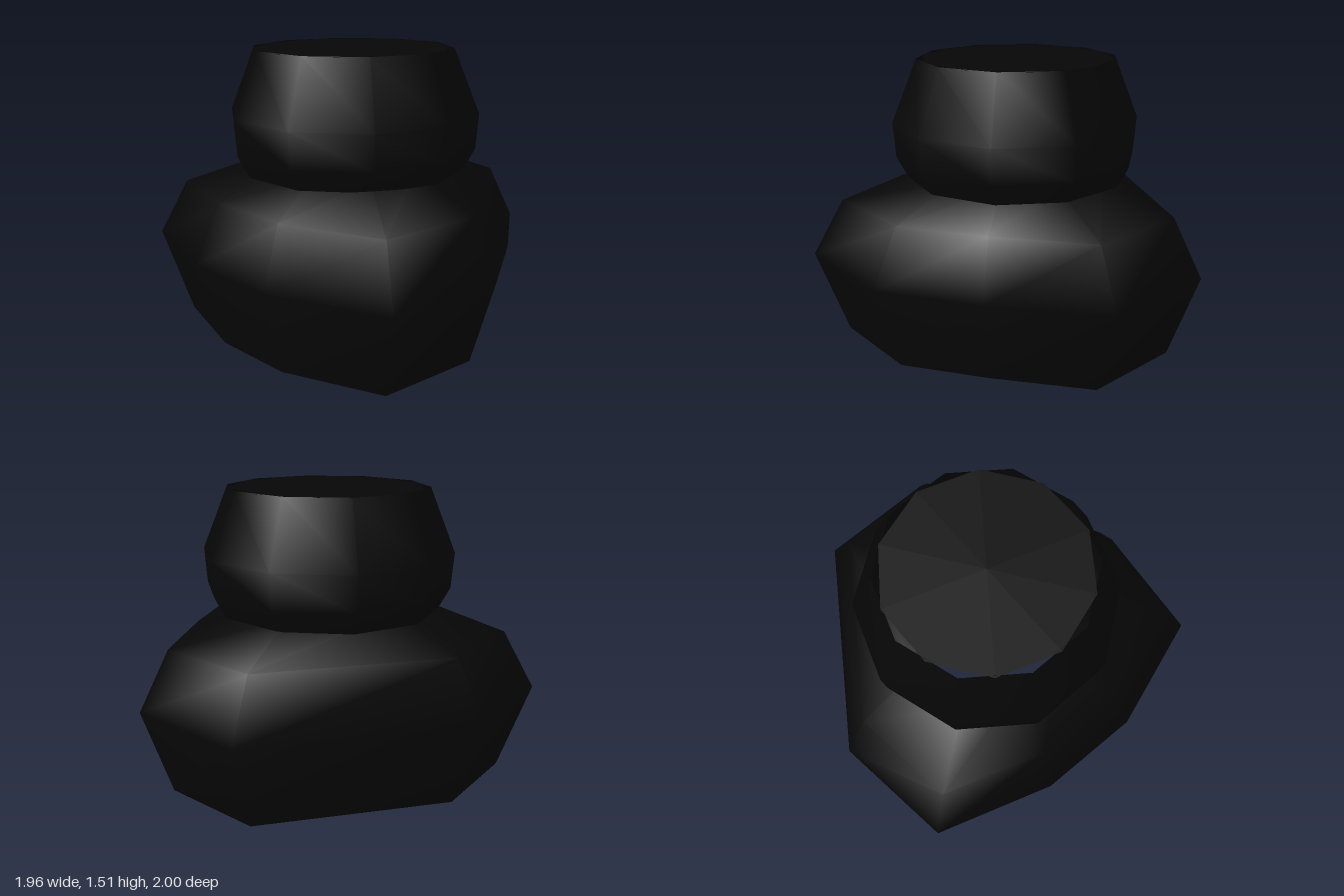
import * as THREE from 'three';

// Shared vertical axis of the base and the upper bowl
const CX = -0.085, CZ = -0.06;

// Widest outline of the base, as x, z
const OUTLINE = [
  [-0.39, -1.0], [0.77, -0.69], [0.98, -0.06], [0.59, 0.44], [0.21, 0.86],
  [-0.43, 1.0], [-0.82, 0.47], [-0.98, -0.06], [-0.98, -0.71],
].map(([x, z]) => [x - CX, z - CZ]);

// Skin scaled copies of the outline, listed from bottom to top as [scale, y]
function loft(levels) {
  const n = OUTLINE.length, pos = [], idx = [];
  for (const [s, y] of levels) for (const [x, z] of OUTLINE) pos.push(x * s, y, z * s);
  for (let r = 0; r < levels.length - 1; r++) {
    for (let i = 0; i < n; i++) {
      const a = r * n + i, b = r * n + (i + 1) % n;
      idx.push(a, a + n, b, b, a + n, b + n);
    }
  }
  const g = new THREE.BufferGeometry();
  g.setAttribute('position', new THREE.Float32BufferAttribute(pos, 3));
  g.setIndex(idx);
  g.computeVertexNormals();
  return g;
}

export function createModel() {
  // Open shells, so both sides show
  const black = new THREE.MeshStandardMaterial({ color: 0x060606, side: THREE.DoubleSide });
  black.name = 'black';
  const model = new THREE.Group();
  model.name = 'stackedShells';

  const add = (name, geometry) => {
    const mesh = new THREE.Mesh(geometry, black);
    mesh.name = name;
    mesh.position.set(CX, 0, CZ);
    model.add(mesh);
    return mesh;
  };

  // Irregular nine-sided base, open below and at the top under the bowl
  add('base', loft([[0.85, 0], [1, 0.455], [0.85, 0.757], [0.467, 0.912]]));

  // Ten-sided upper bowl, open below
  const profile = [[0.59, 0.873], [0.65, 0.985], [0.665, 1.172], [0.53, 1.51]]
    .map(([r, y]) => new THREE.Vector2(r, y));
  add('bowl', new THREE.LatheGeometry(profile, 10, Math.PI / 2));

  // Flat lid, turned half a side against the bowl's rim
  const lid = add('lid', new THREE.CircleGeometry(0.515, 10, Math.PI / 10));
  lid.position.y = 1.508;
  lid.rotation.x = -Math.PI / 2;

  return model;
}
